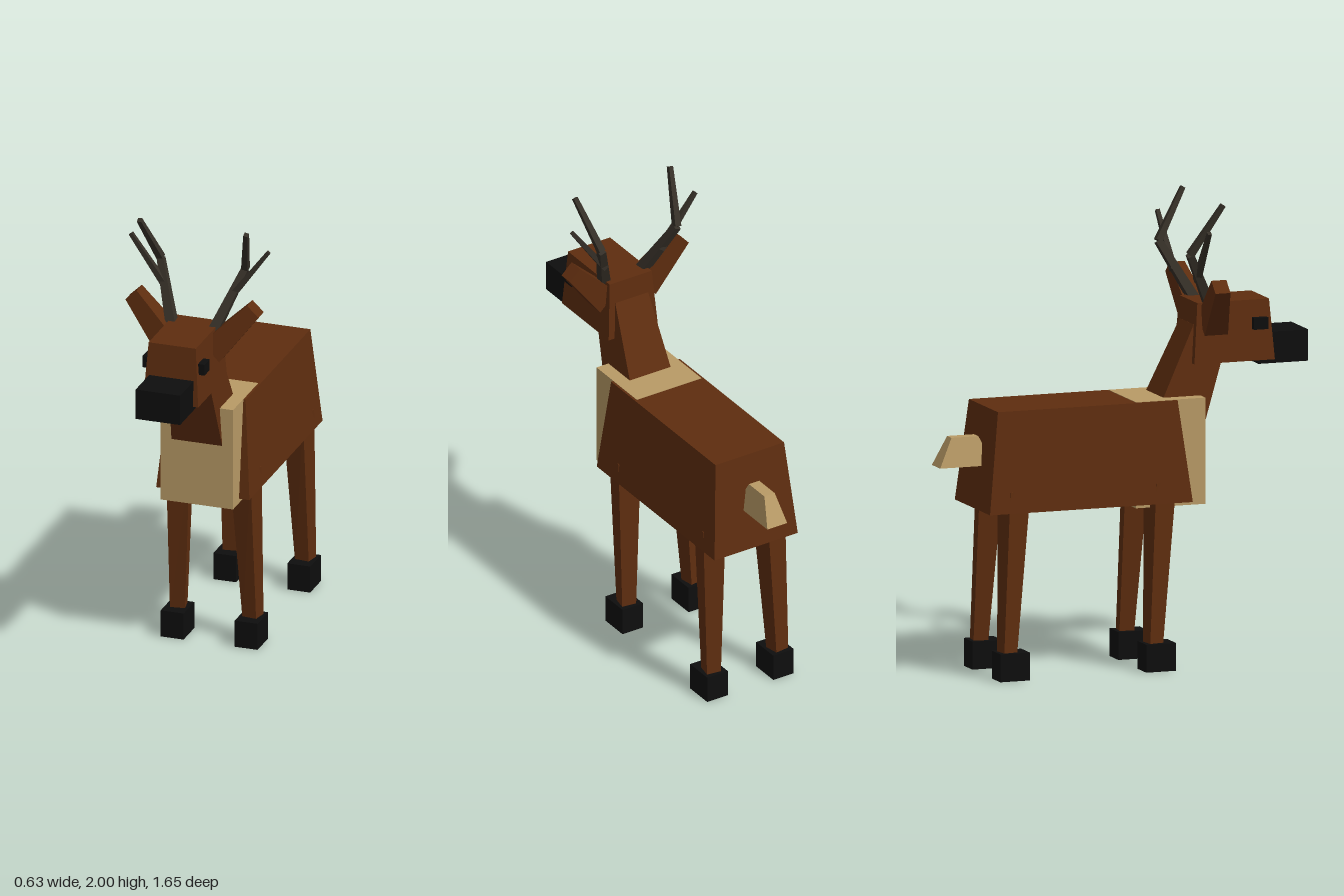
import * as THREE from 'three';

const mat = (name, color) => {
  const m = new THREE.MeshStandardMaterial({ color, flatShading: true });
  m.name = name;
  return m;
};

// Four corners of a level rectangle, counterclockwise from above
const rect = (y, hx, zBack, zFront) => [[hx, y, zFront], [hx, y, zBack], [-hx, y, zBack], [-hx, y, zFront]];

// Closed block between a lower and an upper four-cornered loop
function loft(a, b) {
  const pos = [];
  const quad = (p, q, r, s) => pos.push(...p, ...q, ...r, ...p, ...r, ...s);
  for (let i = 0; i < 4; i++) {
    const j = (i + 1) % 4;
    quad(a[i], a[j], b[j], b[i]);
  }
  quad(...b);
  quad(a[3], a[2], a[1], a[0]);
  const g = new THREE.BufferGeometry();
  g.setAttribute('position', new THREE.Float32BufferAttribute(pos, 3));
  g.computeVertexNormals();
  return g;
}

// Mirror a loop across x, keeping its winding
const mirrorLoop = (loop, side) =>
  side > 0 ? loop : loop.map(([x, y, z]) => [-x, y, z]).reverse();

// Box from its extents
function block(x0, x1, y0, y1, z0, z1) {
  return new THREE.BoxGeometry(x1 - x0, y1 - y0, z1 - z0)
    .translate((x0 + x1) / 2, (y0 + y1) / 2, (z0 + z1) / 2);
}

// Tapered square rod between two points
function rod(from, to, r0, r1) {
  const a = new THREE.Vector3(...from);
  const d = new THREE.Vector3(...to).sub(a);
  const len = d.length();
  const turn = new THREE.Quaternion().setFromUnitVectors(new THREE.Vector3(0, 1, 0), d.normalize());
  return new THREE.CylinderGeometry(r1, r0, len, 4)
    .rotateY(Math.PI / 4).translate(0, len / 2, 0)
    .applyQuaternion(turn).translate(a.x, a.y, a.z);
}

export function createModel() {
  const model = new THREE.Group();
  model.name = 'deer';
  const brown = mat('brownFur', 0x5e2d0f);
  const cream = mat('creamFur', 0xb89a66);
  const black = mat('blackHoofAndNose', 0x0e0e0e);
  const horn = mat('darkAntler', 0x352f27);

  const add = (name, geometry, material, parent = model) => {
    const mesh = new THREE.Mesh(geometry, material);
    mesh.name = name;
    parent.add(mesh);
  };

  // Trunk, chest and tail
  add('body', loft(rect(0.72, 0.21, -0.66, 0.26), rect(1.155, 0.173, -0.61, 0.205)), brown);
  add('chest', block(-0.163, 0.163, 0.7, 1.157, 0.02, 0.335), cream);
  add('tail', loft(rect(0.905, 0.05, -0.825, -0.58), rect(1.03, 0.026, -0.765, -0.643)), cream);

  // Neck and head
  add('neck', loft(rect(0.9, 0.12, 0.045, 0.308), rect(1.46, 0.083, 0.312, 0.485)), brown);
  add('head', loft(rect(1.295, 0.124, 0.3, 0.665), rect(1.555, 0.106, 0.32, 0.645)), brown);
  add('muzzle', block(-0.1, 0.1, 1.275, 1.41, 0.6, 0.825), black);

  for (const side of [1, -1]) {
    const label = side > 0 ? 'left' : 'right';
    const mirror = ([x, y, z]) => [side * x, y, z];

    // Eye
    const eye = block(0.105, 0.14, 1.43, 1.48, 0.565, 0.63);
    if (side < 0) eye.translate(-0.245, 0, 0);
    add(label + 'Eye', eye, black);

    // Ear, tapering up and outward
    const earLoop = (x, y, z, h, d) => mirrorLoop(
      [[h, d], [h, -d], [-h, -d], [-h, d]].map(([u, w]) => [x + 0.72 * u, y - 0.69 * u, z + w]), side);
    add(label + 'Ear', loft(earLoop(0.1, 1.457, 0.393, 0.056, 0.053), earLoop(0.274, 1.65, 0.363, 0.035, 0.034)), brown);

    // Antler: beam, forward tine and side tine
    const antler = new THREE.Group();
    antler.name = label + 'Antler';
    const elbow = mirror([0.19, 1.78, 0.255]);
    add('beam', rod(mirror([0.085, 1.51, 0.395]), elbow, 0.032, 0.021), horn, antler);
    add('forwardTine', rod(elbow, mirror([0.24, 1.995, 0.385]), 0.021, 0.014), horn, antler);
    add('sideTine', rod(mirror([0.14, 1.66, 0.305]), mirror([0.31, 1.89, 0.297]), 0.02, 0.012), horn, antler);
    model.add(antler);

    // Legs, slightly twisted, with block hooves
    for (const [name, dz] of [['Front', 0], ['Back', -0.662]]) {
      const leg = new THREE.Group();
      leg.name = label + name + 'Leg';
      const loop = (y, pts) => mirrorLoop(pts.map(([x, z]) => [x, y, z + dz]), side);
      add('shank', loft(
        loop(0.1, [[0.194, 0.13], [0.205, 0.068], [0.141, 0.06], [0.13, 0.122]]),
        loop(0.81, [[0.19, 0.193], [0.206, 0.096], [0.106, 0.077], [0.09, 0.176]])), brown, leg);
      const [x0, x1] = side > 0 ? [0.115, 0.218] : [-0.218, -0.115];
      add('hoof', block(x0, x1, 0, 0.12, 0.046 + dz, 0.18 + dz), black, leg);
      model.add(leg);
    }
  }
  return model;
}
